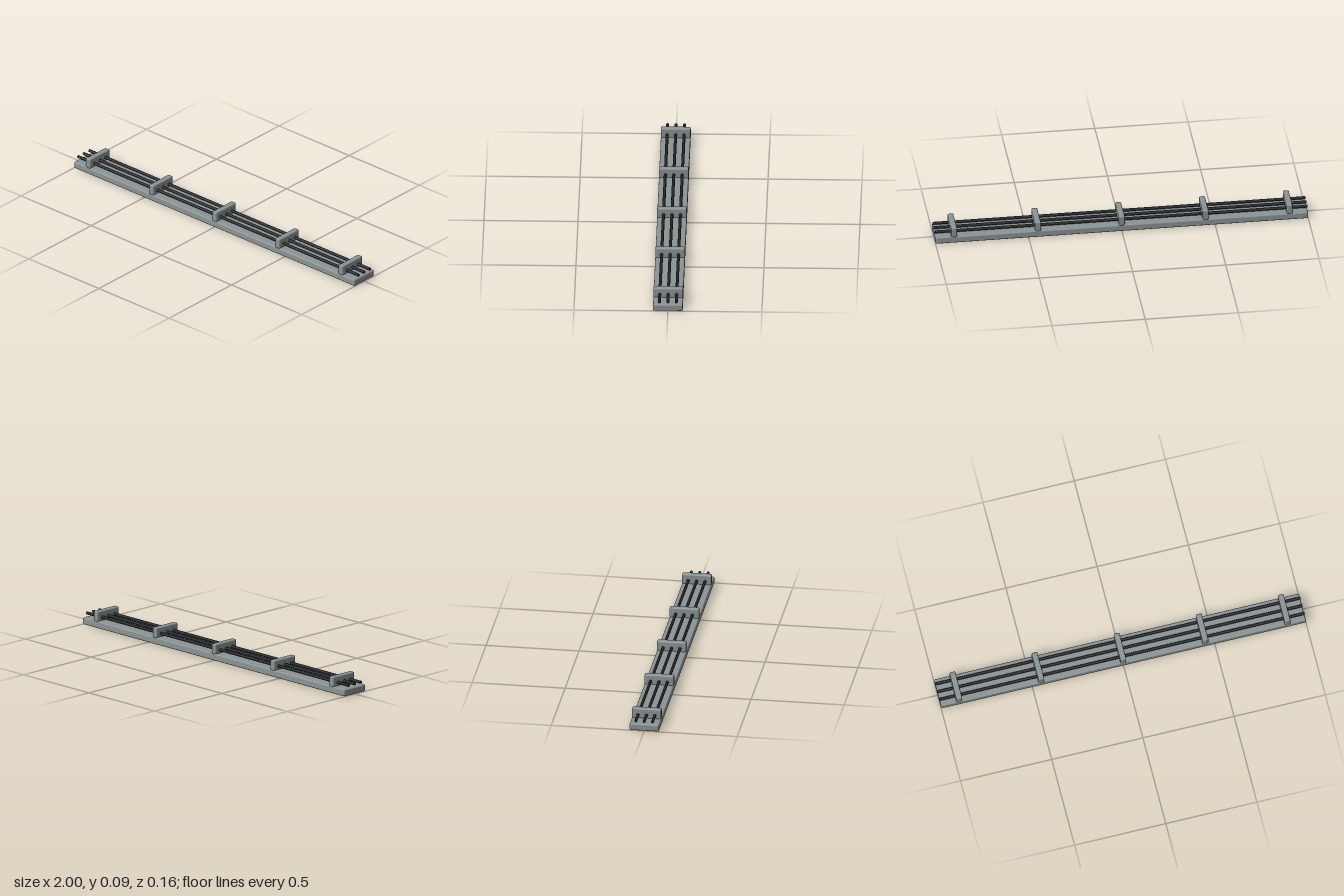
import * as THREE from 'three';
import { RoundedBoxGeometry } from 'three/addons/geometries/RoundedBoxGeometry.js';

export function createModel() {
  const model = new THREE.Group();
  model.name = 'cableTray';
  const grey = new THREE.MeshStandardMaterial({ name: 'grey metal', color: 0x8c9496 });
  const black = new THREE.MeshStandardMaterial({ name: 'black rubber', color: 0x222426 });

  const add = (name, geometry, material, x, y, z) => {
    const mesh = new THREE.Mesh(geometry, material);
    mesh.name = name;
    mesh.position.set(x, y, z);
    model.add(mesh);
  };

  // Long base rail with softened edges
  add('baseRail', new RoundedBoxGeometry(2, 0.038, 0.158, 2, 0.007), grey, 0, 0.019, 0);

  // Three parallel cables running the full length
  const cable = new THREE.CylinderGeometry(0.008, 0.008, 2, 10).rotateZ(Math.PI / 2);
  for (const z of [-0.045, 0, 0.045]) add('cable', cable, black, 0, 0.056, z);

  // Clamps holding the cables down
  const clamp = new RoundedBoxGeometry(0.032, 0.057, 0.158, 2, 0.007);
  for (const x of [-0.9, -0.45, 0, 0.45, 0.9]) add('clamp', clamp, grey, x, 0.0625, 0);

  return model;
}
